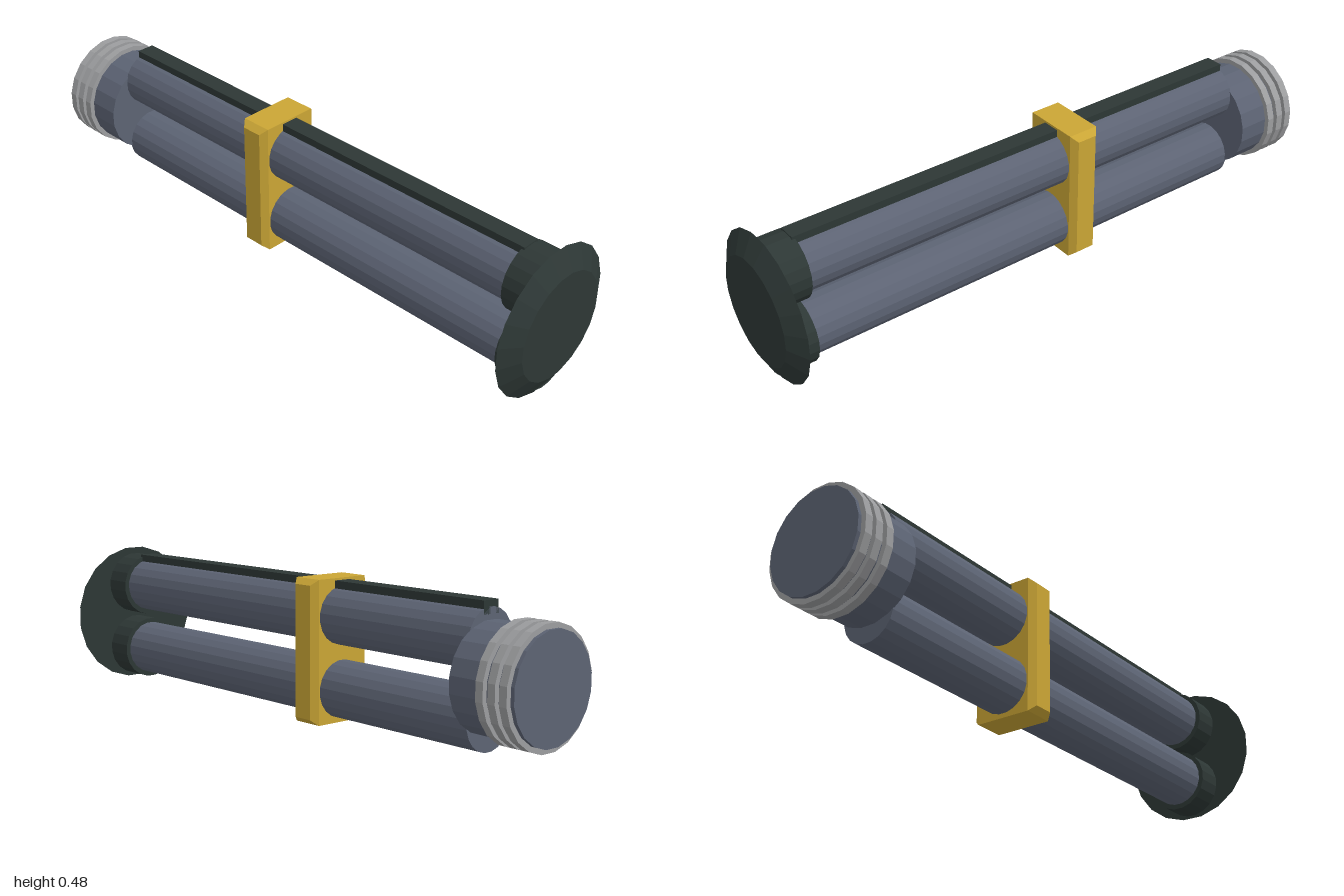
import * as THREE from 'three';

const SIDES = 20;

function material(name, color) {
  const m = new THREE.MeshStandardMaterial({ color, flatShading: true });
  m.name = name;
  return m;
}

export function createModel() {
  const group = new THREE.Group();
  const steel = material('blue grey steel', 0x5c6373);
  const dark = material('dark green grey', 0x2d3735);
  const gold = material('gold', 0xcaa535);
  const silver = material('silver', 0x9c9d9f);

  const add = (name, geometry, mat) => {
    const mesh = new THREE.Mesh(geometry, mat);
    mesh.name = name;
    group.add(mesh);
    return mesh;
  };

  // Faceted cylinder lying along x, with a flat facet on top
  const rod = (name, x0, x1, y, r0, mat, r1 = r0) => {
    const g = new THREE.CylinderGeometry(r1, r0, x1 - x0, SIDES, 1, false, Math.PI / SIDES);
    g.rotateZ(-Math.PI / 2);
    g.translate((x0 + x1) / 2, y, 0);
    return add(name, g, mat);
  };

  // Twin tubes with their end collars
  for (const [label, y] of [['upper', 0.35], ['lower', 0.118]]) {
    rod(label + 'Tube', -0.775, 0.9, y, 0.092, steel);
    rod(label + 'Collar', 0.865, 0.973, y - 0.001, 0.108, dark);
  }

  // Rail along the top of the upper tube
  const rail = new THREE.BoxGeometry(1.65, 0.04, 0.06);
  rail.translate(0.05, 0.44, 0);
  add('topRail', rail, dark);

  // Bevelled end plate
  rod('endPlate', 0.962, 1, 0.239, 0.242, dark, 0.174);

  // End cap with three rings
  rod('endCap', -1, -0.772, 0.242, 0.164, steel);
  for (const x of [-0.975, -0.935, -0.893]) {
    rod('capRing', x - 0.013, x + 0.013, 0.242, 0.18, silver);
  }

  // Clamp block with chamfered front and back
  const b = 0.018, w = 0.052 - b, h = 0.2275 - b;
  const outline = new THREE.Shape([
    new THREE.Vector2(-w, -h), new THREE.Vector2(w, -h),
    new THREE.Vector2(w, h), new THREE.Vector2(-w, h),
  ]);
  const clamp = new THREE.ExtrudeGeometry(outline, {
    depth: 0.19, bevelEnabled: true, bevelSegments: 1, bevelSize: b, bevelThickness: 0.021,
  });
  clamp.translate(-0.118, 0.2395, -0.095);
  add('clamp', clamp, gold);

  return group;
}
